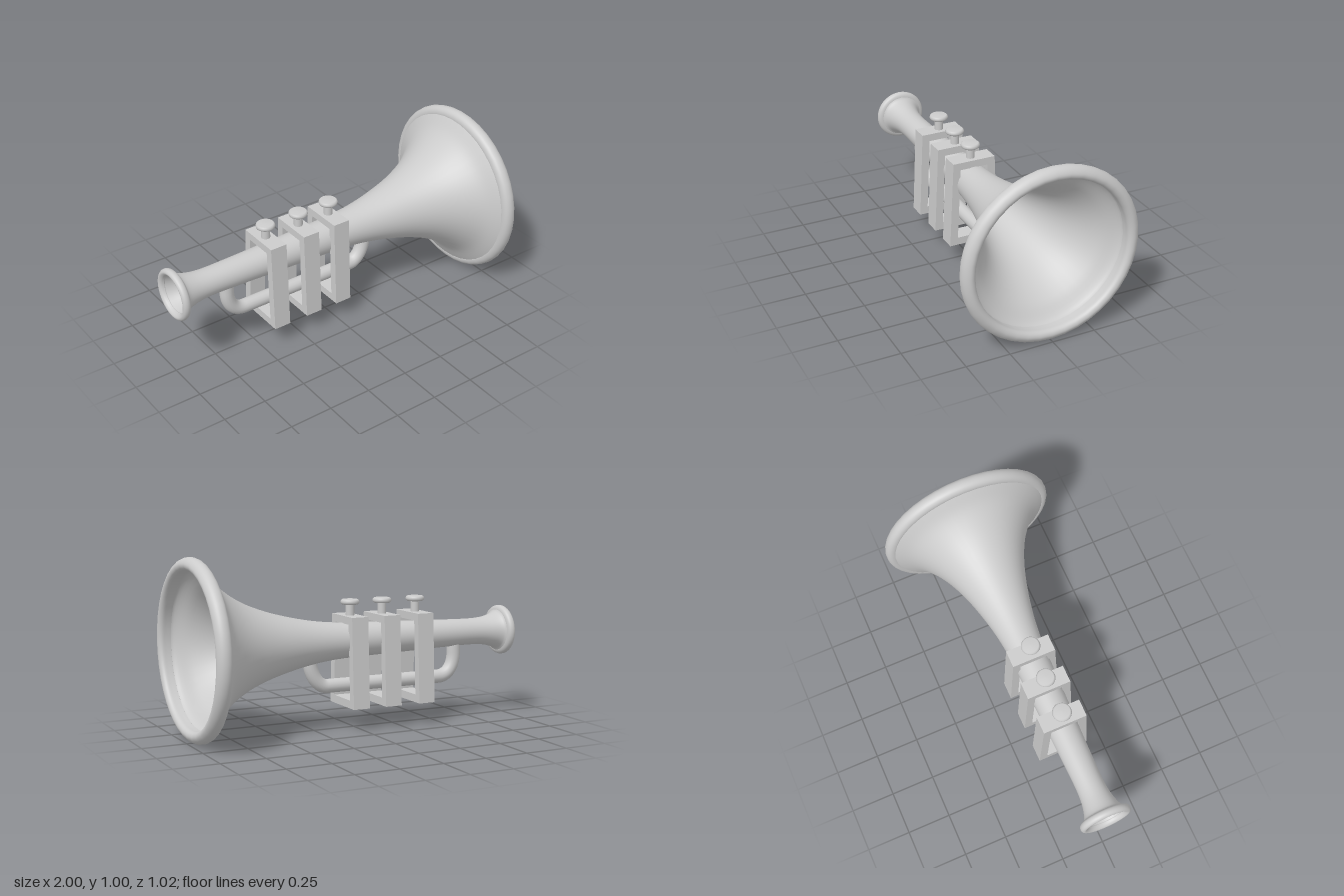
import * as THREE from 'three';

const AXIS_Y = 0.502;
const material = new THREE.MeshStandardMaterial({ color: 0xcccccc });
const thinMaterial = new THREE.MeshStandardMaterial({ color: 0xcccccc, side: THREE.DoubleSide });

// Smooth curve through [along x, radius] pairs, returned as lathe points
function profile(pairs, steps) {
  const curve = new THREE.CatmullRomCurve3(pairs.map(([x, r]) => new THREE.Vector3(r, x, 0)));
  return curve.getPoints(steps).map(p => new THREE.Vector2(p.x, p.y));
}

// Lathe turned to lie along the x axis
function turned(name, pairs, steps) {
  const mesh = new THREE.Mesh(new THREE.LatheGeometry(profile(pairs, steps), 40), thinMaterial);
  mesh.name = name;
  mesh.rotation.z = -Math.PI / 2;
  mesh.position.y = AXIS_Y;
  mesh.scale.z = 1.02;
  return mesh;
}

// Slightly tapered rectangular outline, wider at the bottom
function trapezoid(Kind, bottom, top, halfBottom, halfTop) {
  const path = new Kind();
  path.moveTo(-halfBottom, bottom);
  path.lineTo(halfBottom, bottom);
  path.lineTo(halfTop, top);
  path.lineTo(-halfTop, top);
  path.closePath();
  return path;
}

function valve(x) {
  const group = new THREE.Group();
  group.name = 'valve';
  group.position.x = x;

  // Open frame around the horn
  const shape = trapezoid(THREE.Shape, 0.13, 0.643, 0.15, 0.127);
  shape.holes.push(trapezoid(THREE.Path, 0.175, 0.6, 0.102, 0.083));
  const geometry = new THREE.ExtrudeGeometry(shape, { depth: 0.1, bevelEnabled: false });
  geometry.translate(0, 0, -0.05);
  geometry.rotateY(Math.PI / 2);
  const frame = new THREE.Mesh(geometry, material);
  frame.name = 'valveFrame';

  // Stem and rounded finger button
  const stem = new THREE.Mesh(new THREE.CylinderGeometry(0.025, 0.025, 0.08, 20), material);
  stem.name = 'valveStem';
  stem.position.y = 0.675;
  const outline = [[0, 0.704], [0.044, 0.704], [0.051, 0.709], [0.054, 0.718],
    [0.051, 0.728], [0.044, 0.733], [0, 0.734]].map(([r, y]) => new THREE.Vector2(r, y));
  const button = new THREE.Mesh(new THREE.LatheGeometry(outline, 24), material);
  button.name = 'valveButton';

  group.add(frame, stem, button);
  return group;
}

// Bent pipe hanging under the horn, with closed ends inside it
function lowerPipe() {
  const group = new THREE.Group();
  group.name = 'lowerPipe';
  const v = (x, y) => new THREE.Vector3(x, y, 0);
  const path = new THREE.CurvePath();
  path.add(new THREE.LineCurve3(v(-0.657, 0.44), v(-0.657, 0.385)));
  path.add(new THREE.CubicBezierCurve3(v(-0.657, 0.385), v(-0.657, 0.31), v(-0.62, 0.25), v(-0.55, 0.25)));
  path.add(new THREE.LineCurve3(v(-0.55, 0.25), v(0.17, 0.25)));
  path.add(new THREE.CubicBezierCurve3(v(0.17, 0.25), v(0.23, 0.25), v(0.272, 0.33), v(0.275, 0.405)));
  const pipe = new THREE.Mesh(new THREE.TubeGeometry(path, 90, 0.04, 16), material);
  pipe.name = 'pipe';
  group.add(pipe);
  for (const [x, y] of [[-0.657, 0.44], [0.275, 0.405]]) {
    const end = new THREE.Mesh(new THREE.CircleGeometry(0.04, 16), thinMaterial);
    end.name = 'pipeEnd';
    end.rotation.x = -Math.PI / 2;
    end.position.set(x, y, 0);
    group.add(end);
  }
  return group;
}

export function createModel() {
  const model = new THREE.Group();
  model.name = 'trumpet';

  // Flaring horn: outer wall and inner wall
  model.add(turned('hornOuter', [[-0.955, 0.125], [-0.94, 0.108], [-0.88, 0.088], [-0.8, 0.078],
    [-0.6, 0.08], [-0.4, 0.086], [-0.1, 0.095], [0.1, 0.103], [0.25, 0.12], [0.4, 0.15], [0.55, 0.192],
    [0.68, 0.245], [0.78, 0.305], [0.86, 0.375], [0.92, 0.465]], 70));
  model.add(turned('hornInner', [[0.955, 0.43], [0.92, 0.428], [0.85, 0.352], [0.77, 0.288], [0.67, 0.232],
    [0.54, 0.182], [0.4, 0.142], [0.25, 0.113], [0.1, 0.097], [-0.1, 0.089], [-0.4, 0.08], [-0.6, 0.075],
    [-0.8, 0.073], [-0.88, 0.08], [-0.94, 0.098], [-0.975, 0.108]], 70));

  // Thick rounded lip of the bell
  model.add(turned('bellRim', [[0.93, 0.43], [0.915, 0.45], [0.917, 0.475], [0.93, 0.492], [0.952, 0.499],
    [0.975, 0.494], [0.992, 0.479], [1, 0.46], [0.995, 0.442], [0.98, 0.431], [0.955, 0.43], [0.93, 0.43]], 36));

  // Rounded lip of the mouthpiece
  model.add(turned('mouthpieceRim', [[-0.975, 0.106], [-0.99, 0.112], [-1, 0.127], [-0.993, 0.141],
    [-0.978, 0.146], [-0.962, 0.141], [-0.953, 0.127], [-0.952, 0.112], [-0.975, 0.106]].reverse(), 28));

  model.add(lowerPipe());
  for (const x of [-0.395, -0.18, 0.023]) model.add(valve(x));
  return model;
}
